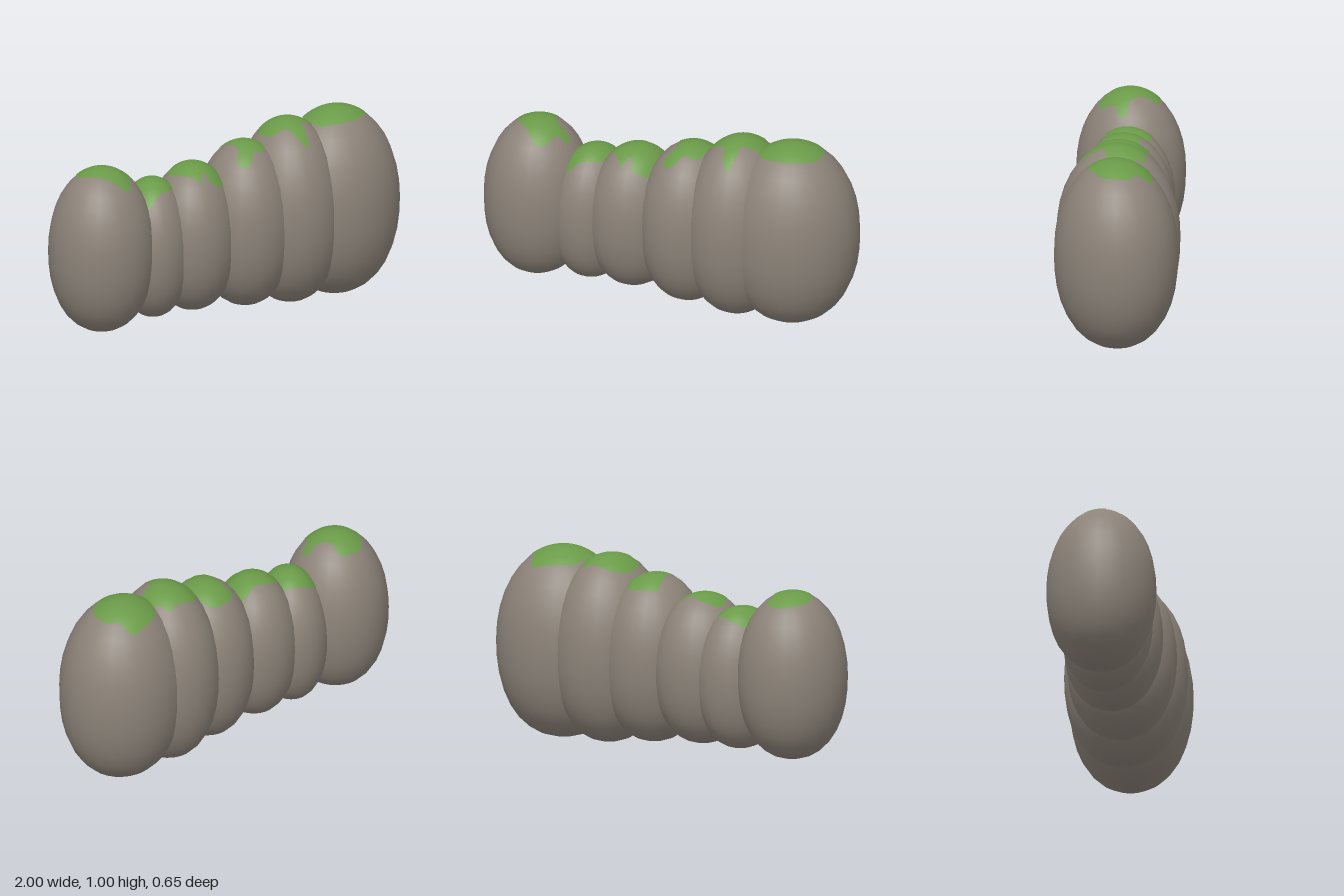
import * as THREE from 'three';
import { mergeVertices } from 'three/addons/utils/BufferGeometryUtils.js';

// Roundness of the upright profile: 2 is an ellipse, more is fuller
const TOP_POWER = 2.06, BOTTOM_POWER = 2.25;

// Moss outlines seen from above, as x, z pairs
const mossA = [-.84, -.1, -.77, -.19, -.71, -.2, -.65, -.18, -.645, -.1, -.6, -.04, -.55, -.03, -.55, .01,
  -.6, .03, -.64, .1, -.68, .12, -.75, .06, -.82, -.02];
const mossB = [-.53, -.13, -.46, -.17, -.38, -.16, -.3, -.1, -.32, 0, -.38, .06, -.45, .08, -.53, .1];
const mossC = [-.31, -.08, -.22, -.12, -.14, -.1, -.06, -.11, -.06, 0, -.075, .1, -.14, .125, -.172, .12,
  -.18, .08, -.21, .08, -.22, .12, -.25, .09, -.3, .01];
const mossD = [.03, -.13, .1, -.16, .18, -.155, .21, -.1, .2, .03, .165, .1, .1, .1, .07, .14, .02, .15,
  0, .11, .04, .05, .04, -.04];
const mossE = [.23, -.06, .3, -.14, .42, -.14, .46, -.15, .48, -.1, .5, -.06, .5, .03, .46, .055, .405, .07,
  .395, .13, .37, .2, .335, .16, .31, .08, .24, .05];
const mossF = [.52, -.1, .6, -.16, .74, -.18, .77, -.1, .81, -.06, .8, .06, .74, .11, .66, .14, .51, .09];

// Centre, radii, skew (x shift per unit z) and moss of each boulder
const boulders = [
  { name: 'boulderFarRight', c: [-.722, .474, -.047], r: [.278, .437, .283], skew: -.04, moss: mossA },
  { name: 'boulderLowest', c: [-.42, .429, -.042], r: [.205, .37, .239], skew: -.15, moss: mossB },
  { name: 'boulderMiddleRight', c: [-.19, .452, -.027], r: [.24, .393, .258], skew: -.12, moss: mossC },
  { name: 'boulderMiddleLeft', c: [.11, .473, -.006], r: [.258, .439, .285], skew: -.08, moss: mossD },
  { name: 'boulderTall', c: [.375, .495, -.004], r: [.278, .491, .32], skew: -.08, moss: mossE },
  { name: 'boulderFarLeft', c: [.657, .499, .002], r: [.343, .499, .32], skew: -.07, moss: mossF },
];

// Full, rounded boulder made by pushing out a sphere
function boulderGeometry({ c, r, skew }) {
  let geo = new THREE.SphereGeometry(1, 26, 18);
  geo.deleteAttribute('uv');
  geo.deleteAttribute('normal');
  geo = mergeVertices(geo);
  const p = geo.attributes.position;
  for (let i = 0; i < p.count; i++) {
    const x = p.getX(i), y = p.getY(i), z = p.getZ(i);
    const power = y > 0 ? TOP_POWER : BOTTOM_POWER;
    const s = (Math.hypot(x, z) ** power + Math.abs(y) ** power) ** (-1 / power);
    const dz = z * s * r[2];
    p.setXYZ(i, c[0] + x * s * r[0] + skew * dz, c[1] + y * s * r[1], c[2] + dz);
  }
  geo.computeVertexNormals();
  return geo;
}

// Thin moss skin draped over the top of a boulder
function mossGeometry({ c, r, skew, moss }) {
  const lift = 0.002;
  const height = (x, z) => {
    const dz = z - c[2];
    const h = Math.hypot((x - c[0] - skew * dz) / (r[0] + lift), dz / (r[2] + lift));
    return c[1] + (r[1] + lift) * Math.max(0, 1 - h ** TOP_POWER) ** (1 / TOP_POWER);
  };
  const points = [];
  for (let i = 0; i < moss.length; i += 2) points.push(new THREE.Vector3(moss[i], 0, moss[i + 1]));
  const mid = points.reduce((sum, q) => sum.add(q), new THREE.Vector3()).divideScalar(points.length);
  const n = 80, rings = 10, pos = [], index = [];
  const rim = new THREE.CatmullRomCurve3(points, true).getPoints(n).slice(0, n);
  for (let k = 0; k <= rings; k++) {
    rim.forEach((q, j) => {
      const v = mid.clone().lerp(q, k / rings);
      pos.push(v.x, height(v.x, v.z), v.z);
      if (k === rings) return;
      const a = k * n + j, b = k * n + (j + 1) % n;
      if (k > 0) index.push(a, b, b + n);
      index.push(a, b + n, a + n);
    });
  }
  const geo = new THREE.BufferGeometry();
  geo.setAttribute('position', new THREE.Float32BufferAttribute(pos, 3));
  geo.setIndex(index);
  geo.computeVertexNormals();
  return geo;
}

export function createModel() {
  const stone = new THREE.MeshStandardMaterial({ color: 0x8c8379 });
  stone.name = 'stone';
  const green = new THREE.MeshStandardMaterial({ color: 0x6a9a48 });
  green.name = 'mossGreen';

  const model = new THREE.Group();
  model.name = 'mossyBoulderWall';
  for (const b of boulders) {
    const group = new THREE.Group();
    group.name = b.name;
    const rock = new THREE.Mesh(boulderGeometry(b), stone);
    rock.name = 'rock';
    const moss = new THREE.Mesh(mossGeometry(b), green);
    moss.name = 'moss';
    group.add(rock, moss);
    model.add(group);
  }
  return model;
}
